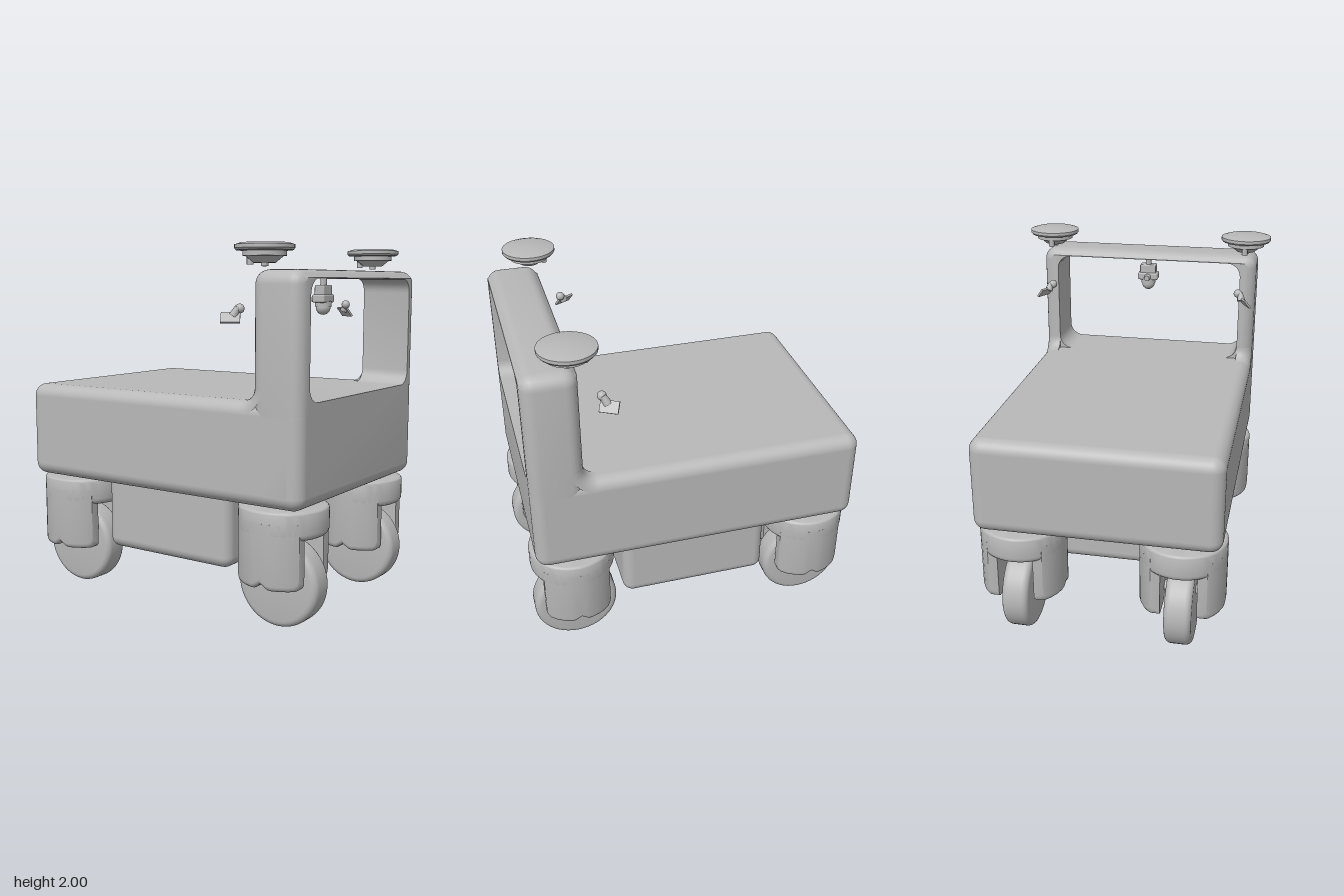
import * as THREE from 'three';
import { toCreasedNormals } from 'three/addons/utils/BufferGeometryUtils.js';
import { RoundedBoxGeometry } from 'three/addons/geometries/RoundedBoxGeometry.js';

const grey = new THREE.MeshStandardMaterial({ color: 0xb8b8b8 });
grey.name = 'plain grey';

function add(parent, name, geo, x = 0, y = 0, z = 0) {
  const m = new THREE.Mesh(geo, grey);
  m.name = name;
  m.position.set(x, y, z);
  parent.add(m);
  return m;
}

const creased = (g) => toCreasedNormals(g, 0.6);
const lathe = (pts, seg = 48, start = 0, len = Math.PI * 2) =>
  creased(new THREE.LatheGeometry(pts.map(([r, y]) => new THREE.Vector2(r, y)), seg, start, len));

// Solid of revolution with rounded rims
function roundedDisc(r, y0, y1, e0, e1) {
  const pts = [[0, y0]];
  for (let i = 0; i <= 5; i++) {
    const a = i / 5 * Math.PI / 2;
    pts.push([r - e0 + e0 * Math.sin(a), y0 + e0 - e0 * Math.cos(a)]);
  }
  for (let i = 0; i <= 5; i++) {
    const a = i / 5 * Math.PI / 2;
    pts.push([r - e1 + e1 * Math.cos(a), y1 - e1 + e1 * Math.sin(a)]);
  }
  pts.push([0, y1]);
  return lathe(pts);
}

// Skin over equal-length rings; either closed on itself or capped
function loft(rings, closed) {
  const n = rings[0].length, m = rings.length, idx = [];
  for (let i = 0; i < (closed ? m : m - 1); i++) {
    for (let j = 0; j < n; j++) {
      const k = (j + 1) % n, p = i * n, q = ((i + 1) % m) * n;
      idx.push(p + j, q + j, p + k, p + k, q + j, q + k);
    }
  }
  if (!closed) {
    for (let j = 1; j < n - 1; j++) {
      idx.push(0, j, j + 1, (m - 1) * n, (m - 1) * n + j + 1, (m - 1) * n + j);
    }
  }
  const g = new THREE.BufferGeometry();
  g.setAttribute('position', new THREE.Float32BufferAttribute(rings.flat(2), 3));
  g.setIndex(idx);
  return creased(g);
}

// Rounded rectangle ring standing across the x axis
function rectRing(x, w, y0, y1, r) {
  const ring = [];
  [[w, y0, -1], [w, y1, 0], [-w, y1, 1], [-w, y0, 2]].forEach(([z, y, q]) => {
    for (let i = 0; i <= 6; i++) {
      const a = (q + i / 6) * Math.PI / 2;
      const cz = z - Math.sign(z) * r, cy = y === y0 ? y0 + r : y1 - r;
      ring.push([x, cy + r * Math.sin(a), cz + r * Math.cos(a)]);
    }
  });
  return ring;
}

// Upright frame with a rounded window
function frameGeometry() {
  const R = 0.07, rings = [];
  const outer = (x, d) => rings.push(rectRing(x, 0.675 - d, 0.67 + d, 1.865 - Math.min(d, 0.04), R - d + 0.002));
  for (let i = 0; i <= 6; i++) {
    const a = i / 6 * Math.PI / 2;
    outer(0.63 + R - R * Math.sin(a), R - R * Math.cos(a));
  }
  rings.reverse();
  const back = rings.splice(0).sort((p, q) => p[0][0] - q[0][0]);
  for (let i = 0; i <= 6; i++) {
    const a = i / 6 * Math.PI / 2;
    outer(0.92 - R + R * Math.sin(a), R - R * Math.cos(a));
  }
  const hole = [0.92, 0.63].map((x) => rectRing(x, 0.58, 1.21, 1.822, 0.08));
  return loft([...back, ...rings, ...hole], true);
}

// Concave blend between deck and post
function blendGeometry(s) {
  const pts = [];
  for (let i = 0; i <= 6; i++) {
    const a = i / 6 * Math.PI / 2;
    pts.push([0.14 - 0.07 * Math.sin(a), s * (0.605 + 0.07 * Math.cos(a))]);
  }
  pts.push([0.07, s * 0.58], [0.1, s * 0.58]);
  if (s < 0) pts.reverse();
  return lathe(pts, 8, 0, Math.PI / 2).rotateX(Math.PI / 2);
}

// Caster cheek: round outside, flat inside, notched lower edge
function cheekGeometry() {
  const rings = [], R = 0.24, e = 0.03;
  const xs = [-0.185, -0.178, -0.165, -0.14, -0.1, -0.06, -0.04, -0.02];
  for (const x of [...xs, 0, ...xs.map((v) => -v).reverse()]) {
    const ax = Math.abs(x), end = Math.max(0, ax - 0.155) / 0.03;
    const bot = 0.25 + 0.03 * Math.max(0, 1 - ax / 0.045) + e * (1 - Math.sqrt(Math.max(0, 1 - end * end)));
    const out = Math.sqrt(R * R - x * x), ring = [[x, bot, 0.1]];
    for (let i = 0; i <= 4; i++) {
      const a = i / 4 * Math.PI / 2;
      ring.push([x, bot + e - e * Math.cos(a), out - e + e * Math.sin(a)]);
    }
    ring.push([x, 0.6, out], [x, 0.6, 0.1]);
    rings.push(ring);
  }
  return loft(rings, false);
}

export function createModel() {
  const model = new THREE.Group();
  model.name = 'cart';

  // Body
  add(model, 'deck', new RoundedBoxGeometry(1.84, 0.54, 1.35, 6, 0.07), 0, 0.94, 0);
  add(model, 'uprightFrame', frameGeometry());
  for (const s of [1, -1]) add(model, 'postBlend', blendGeometry(s), 0.56, 1.28, 0);
  add(model, 'underBox', new RoundedBoxGeometry(0.85, 0.46, 1.12, 5, 0.06), -0.005, 0.5, 0);

  // Casters
  const cheek = cheekGeometry();
  const cap = roundedDisc(0.24, 0.51, 0.663, 0.035, 0.02);
  const wheel = roundedDisc(0.24, -0.075, 0.075, 0.035, 0.035).rotateX(Math.PI / 2);
  for (const x of [-0.7, 0.7]) {
    for (const z of [-0.45, 0.45]) {
      const caster = new THREE.Group();
      caster.name = 'caster';
      caster.position.set(x, 0, z);
      add(caster, 'casterCap', cap);
      add(caster, 'wheel', wheel, 0, 0.245, 0);
      add(caster, 'axle', new THREE.CylinderGeometry(0.03, 0.03, 0.24, 16).rotateX(Math.PI / 2), 0, 0.33, 0);
      add(caster, 'cheek', cheek);
      add(caster, 'cheek', cheek).rotation.y = Math.PI;
      model.add(caster);
    }
  }

  // Antenna discs and side sensors
  const antenna = lathe([[0, 1.88], [0.018, 1.88], [0.018, 1.897], [0.055, 1.897], [0.095, 1.93],
    [0.11, 1.93], [0.11, 1.955], [0.142, 1.958], [0.15, 1.968], [0.15, 1.986], [0.12, 1.995], [0, 2]]);
  for (const s of [1, -1]) {
    add(model, 'antenna', antenna, 0.67, 0, s * 0.605);
    add(model, 'antennaPeg', new THREE.CylinderGeometry(0.017, 0.017, 0.07, 12), 0.585, 1.925, s * 0.605);

    const sensor = new THREE.Group();
    sensor.name = 'sideSensor';
    sensor.position.set(0.48, 1.625, s * 0.625);
    sensor.rotation.y = s * 0.5;
    const plate = add(sensor, 'sensorPlate', new THREE.BoxGeometry(0.1, 0.065, 0.012));
    plate.rotation.x = -s * 0.7;
    add(sensor, 'sensorNeck', new THREE.CylinderGeometry(0.016, 0.024, 0.05, 12), 0.025, 0.03, -s * 0.015).rotation.z = -0.5;
    add(sensor, 'sensorBall', new THREE.SphereGeometry(0.025, 16, 12), 0.045, 0.045, -s * 0.025);
    model.add(sensor);
  }

  // Camera hanging under the top bar
  const cam = new THREE.Group();
  cam.name = 'camera';
  cam.position.set(0.67, 0, 0);
  add(cam, 'cameraMount', new THREE.CylinderGeometry(0.018, 0.018, 0.06, 12), 0, 1.8, 0);
  add(cam, 'cameraBox', new RoundedBoxGeometry(0.06, 0.08, 0.1, 2, 0.008), 0, 1.748, 0);
  add(cam, 'cameraBase', new RoundedBoxGeometry(0.075, 0.045, 0.125, 2, 0.01), 0, 1.715, 0);
  add(cam, 'cameraNeck', new THREE.CylinderGeometry(0.045, 0.045, 0.03, 20), 0, 1.685, 0);
  add(cam, 'cameraDome', new THREE.SphereGeometry(0.04, 20, 14), 0, 1.666, 0);
  add(cam, 'cameraLens', new THREE.CylinderGeometry(0.022, 0.016, 0.035, 14).rotateZ(-Math.PI / 2), -0.05, 1.71, 0);
  model.add(cam);

  return model;
}
